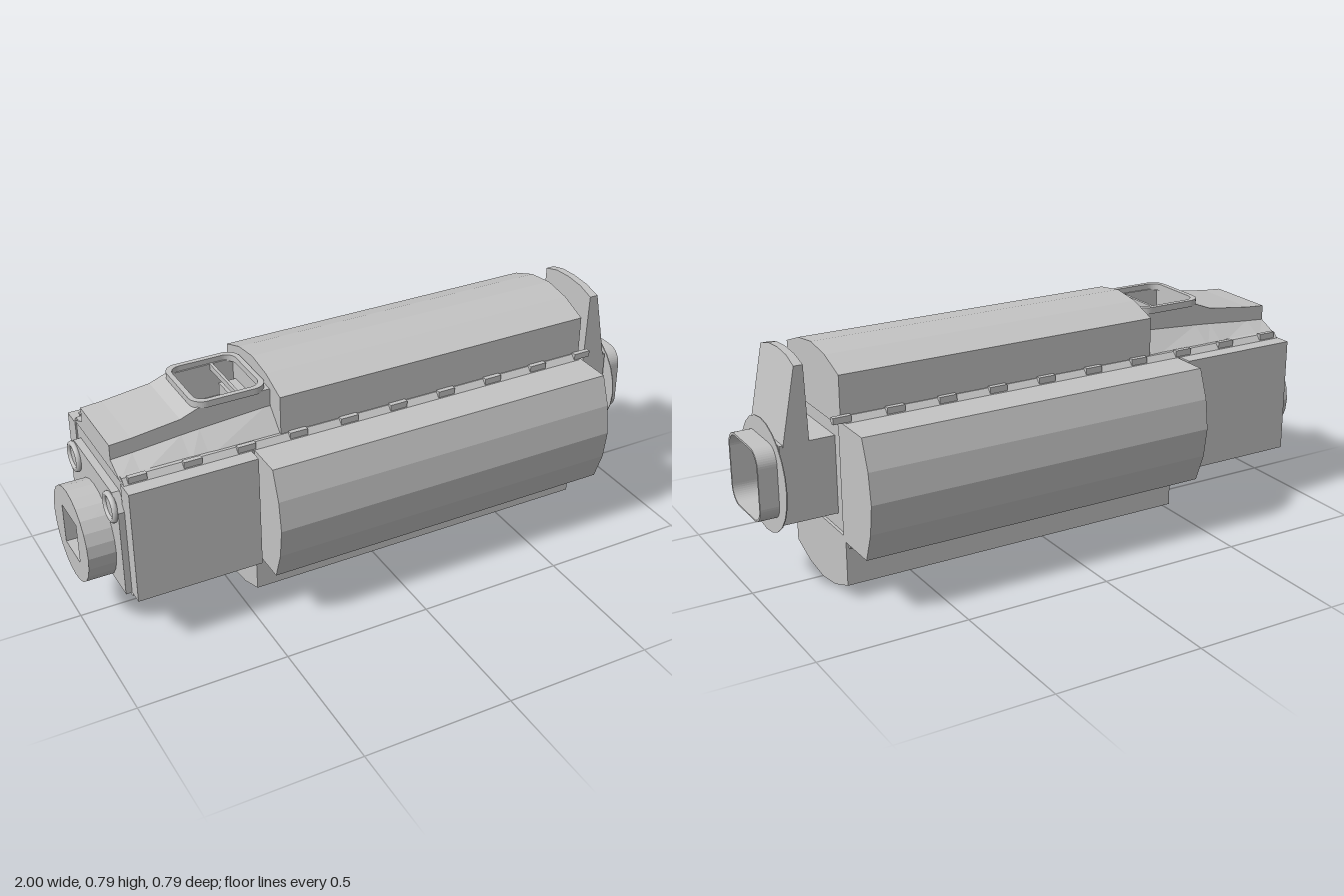
import * as THREE from 'three';

const CY = 0.395; // height of the long axis
const metal = new THREE.MeshStandardMaterial({ color: 0xc4c4c4, side: THREE.DoubleSide });
metal.name = 'hullGrey';

const polygon = pts => new THREE.Shape(pts.map(([z, y]) => new THREE.Vector2(z, y)));

function roundedRect(Type, hw, y0, y1, r) {
  const p = new Type();
  p.moveTo(-hw + r, y0);
  p.lineTo(hw - r, y0);
  p.absarc(hw - r, y0 + r, r, -Math.PI / 2, 0);
  p.lineTo(hw, y1 - r);
  p.absarc(hw - r, y1 - r, r, 0, Math.PI / 2);
  p.lineTo(-hw + r, y1);
  p.absarc(-hw + r, y1 - r, r, Math.PI / 2, Math.PI);
  p.lineTo(-hw, y0 + r);
  p.absarc(-hw + r, y0 + r, r, Math.PI, Math.PI * 1.5);
  return p;
}

// Extrudes a (z, y) outline along x
function alongX(shape, x0, x1, curveSegments = 12) {
  return new THREE.ExtrudeGeometry(shape, { depth: x1 - x0, bevelEnabled: false, curveSegments })
    .rotateY(Math.PI / 2).translate(x0, 0, 0);
}

// Joins two (z, y) outlines of equal point count, with capped ends
function loft(x0, a, x1, b) {
  const n = a.length, pos = [];
  const put = (x, p) => pos.push(x, p[1], p[0]);
  for (let i = 0; i < n; i++) {
    const j = (i + 1) % n;
    put(x0, a[i]); put(x0, a[j]); put(x1, b[j]);
    put(x0, a[i]); put(x1, b[j]); put(x1, b[i]);
  }
  const cap = (x, pts) => {
    const tris = THREE.ShapeUtils.triangulateShape(pts.map(p => new THREE.Vector2(p[0], p[1])), []);
    for (const t of tris) for (const k of t) put(x, pts[k]);
  };
  cap(x0, a);
  cap(x1, b);
  const g = new THREE.BufferGeometry();
  g.setAttribute('position', new THREE.Float32BufferAttribute(pos, 3));
  g.computeVertexNormals();
  return g;
}

export function createModel() {
  const model = new THREE.Group();
  model.name = 'module';
  const add = (name, geometry) => {
    const m = new THREE.Mesh(geometry, metal);
    m.name = name;
    model.add(m);
    return m;
  };
  const box = (name, x0, x1, y0, y1, z0, z1) => add(name,
    new THREE.BoxGeometry(x1 - x0, y1 - y0, z1 - z0)
      .translate((x0 + x1) / 2, (y0 + y1) / 2, (z0 + z1) / 2));

  // Hollow core with chamfered corners
  const core = polygon([[-0.2, 0.175], [0.2, 0.175], [0.217, 0.195], [0.217, 0.592],
    [0.2, 0.61], [-0.2, 0.61], [-0.217, 0.592], [-0.217, 0.195]]);
  core.holes.push(roundedRect(THREE.Path, 0.115, 0.278, 0.512, 0.05));
  add('core', alongX(core, -0.885, 0.75, 5));

  // Four faceted cargo bays around the core; the upper one is shorter
  const bay = polygon([[-0.197, 0.18], [0.197, 0.18], [0.197, 0.345], [0.1, 0.381],
    [0, 0.395], [-0.1, 0.381], [-0.197, 0.345]]);
  ['topBay', 'frontBay', 'bottomBay', 'backBay'].forEach((name, k) => {
    add(name, alongX(bay, k === 0 ? -0.36 : -0.46, 0.76)
      .rotateX(k * Math.PI / 2).translate(0, CY, 0));
  });

  // Side equipment boxes, edge strips and clips
  for (const s of [-1, 1]) {
    const side = (name, x0, x1, y0, y1, za, zb) =>
      box(name, x0, x1, y0, y1, Math.min(s * za, s * zb), Math.max(s * za, s * zb));
    side('sideBox', -0.89, -0.47, 0.2, 0.592, 0.2, 0.268);
    for (let i = 0; i < 10; i++) {
      const x = -0.84 + i * 0.178;
      side('railClip', x - 0.03, x + 0.03, 0.595, 0.616, 0.2, 0.216);
    }
    // Docking lights on the end plate
    add('porthole', new THREE.TorusGeometry(0.042, 0.01, 8, 24).rotateY(Math.PI / 2)
      .translate(-0.915, 0.495, s * 0.16));
    add('portholeGlass', new THREE.CylinderGeometry(0.04, 0.04, 0.008, 24).rotateZ(Math.PI / 2)
      .translate(-0.912, 0.495, s * 0.16));
  }
  box('bellyPlate', -0.89, -0.65, 0.168, 0.18, -0.13, 0.13);

  // Cabin roof: solid nose, open cockpit, solid rear
  const section = (yTop, yLow) => [[0.2, 0.6], [0.125, yLow], [0.125, yTop],
    [-0.125, yTop], [-0.125, yLow], [-0.2, 0.6]];
  const pit = (yTop, yLow) => [[0.2, 0.6], [0.125, yLow], [0.125, yTop], [0.108, yTop],
    [0.108, 0.615], [-0.108, 0.615], [-0.108, yTop], [-0.125, yTop], [-0.125, yLow], [-0.2, 0.6]];
  add('cabinNose', loft(-0.89, section(0.685, 0.635), -0.82, section(0.69, 0.64)));
  add('cabinRoof', loft(-0.82, section(0.69, 0.64), -0.66, section(0.71, 0.655)));
  add('cabinStep', loft(-0.66, section(0.71, 0.655), -0.6, section(0.733, 0.66)));
  add('cockpitWalls', loft(-0.6, pit(0.733, 0.66), -0.38, pit(0.735, 0.675)));
  add('cabinRear', loft(-0.38, section(0.735, 0.675), -0.355, section(0.735, 0.675)));

  // Window frame with rounded corners and a cross bar
  const frame = roundedRect(THREE.Shape, 0.125, -0.13, 0.13, 0.045);
  frame.holes.push(roundedRect(THREE.Path, 0.108, -0.113, 0.113, 0.035));
  add('windowFrame', new THREE.ExtrudeGeometry(frame, { depth: 0.022, bevelEnabled: false, curveSegments: 6 })
    .rotateX(-Math.PI / 2).translate(0, 0.73, 0)).position.x = -0.49;
  box('windowBar', -0.46, -0.45, 0.715, 0.735, -0.11, 0.11);
  box('seat', -0.56, -0.47, 0.615, 0.65, -0.05, 0.05);
  box('console', -0.44, -0.38, 0.615, 0.67, -0.09, 0.09);

  // End plate and round coupling with a square socket
  add('endPlate', alongX(polygon([[-0.215, 0.2], [0.215, 0.2], [0.215, 0.5], [0.17, 0.55],
    [-0.17, 0.55], [-0.215, 0.5]]), -0.91, -0.88));
  const coupling = new THREE.Shape();
  coupling.absarc(0, 0.325, 0.158, 0, Math.PI * 2);
  add('couplingBase', alongX(coupling, -0.96, -0.9));
  const ring = coupling.clone();
  ring.holes.push(new THREE.Path(polygon([[-0.065, 0.255], [-0.065, 0.395],
    [0.065, 0.395], [0.065, 0.255]]).getPoints()));
  add('couplingRing', alongX(ring, -1, -0.96));

  // Docking neck, thin flange and rounded port
  const opening = () => roundedRect(THREE.Path, 0.113, 0.28, 0.51, 0.05);
  const neck = polygon([[-0.127, 0.267], [0.127, 0.267], [0.127, 0.525], [-0.127, 0.525]]);
  neck.holes.push(opening());
  add('dockingNeck', alongX(neck, 0.74, 0.93, 5));
  const flange = new THREE.Shape();
  flange.absarc(0, 0.393, 0.185, 0, Math.PI * 2);
  flange.holes.push(opening());
  add('dockingFlange', alongX(flange, 0.935, 0.938));
  const port = roundedRect(THREE.Shape, 0.121, 0.275, 0.517, 0.055);
  port.holes.push(opening());
  add('dockingPort', alongX(port, 0.92, 1, 6));

  // Upright shield, thickening towards its foot
  const shield = alongX(polygon([[-0.13, 0.52], [0.13, 0.52], [0.13, 0.768], [0.07, 0.785],
    [0, 0.79], [-0.07, 0.785], [-0.13, 0.768]]), 0, 1);
  const p = shield.attributes.position;
  for (let i = 0; i < p.count; i++) {
    const t = (0.79 - p.getY(i)) / 0.27;
    p.setX(i, p.getX(i) > 0.5 ? 0.868 + 0.052 * t : 0.843 - 0.008 * t);
  }
  shield.computeVertexNormals();
  add('shield', shield);

  // Inner bulkhead with a round hatch
  const wall = new THREE.Shape();
  wall.moveTo(-0.115, 0.278);
  wall.lineTo(0.115, 0.278);
  wall.lineTo(0.115, 0.34);
  wall.absarc(0, 0.34, 0.115, 0, Math.PI);
  add('bulkhead', alongX(wall, 0.2, 0.22));
  add('hatchRing', new THREE.TorusGeometry(0.03, 0.006, 6, 24).rotateY(Math.PI / 2).translate(0.222, 0.38, 0));
  box('innerPanel', 0.22, 0.3, 0.285, 0.34, 0.04, 0.105);

  return model;
}
